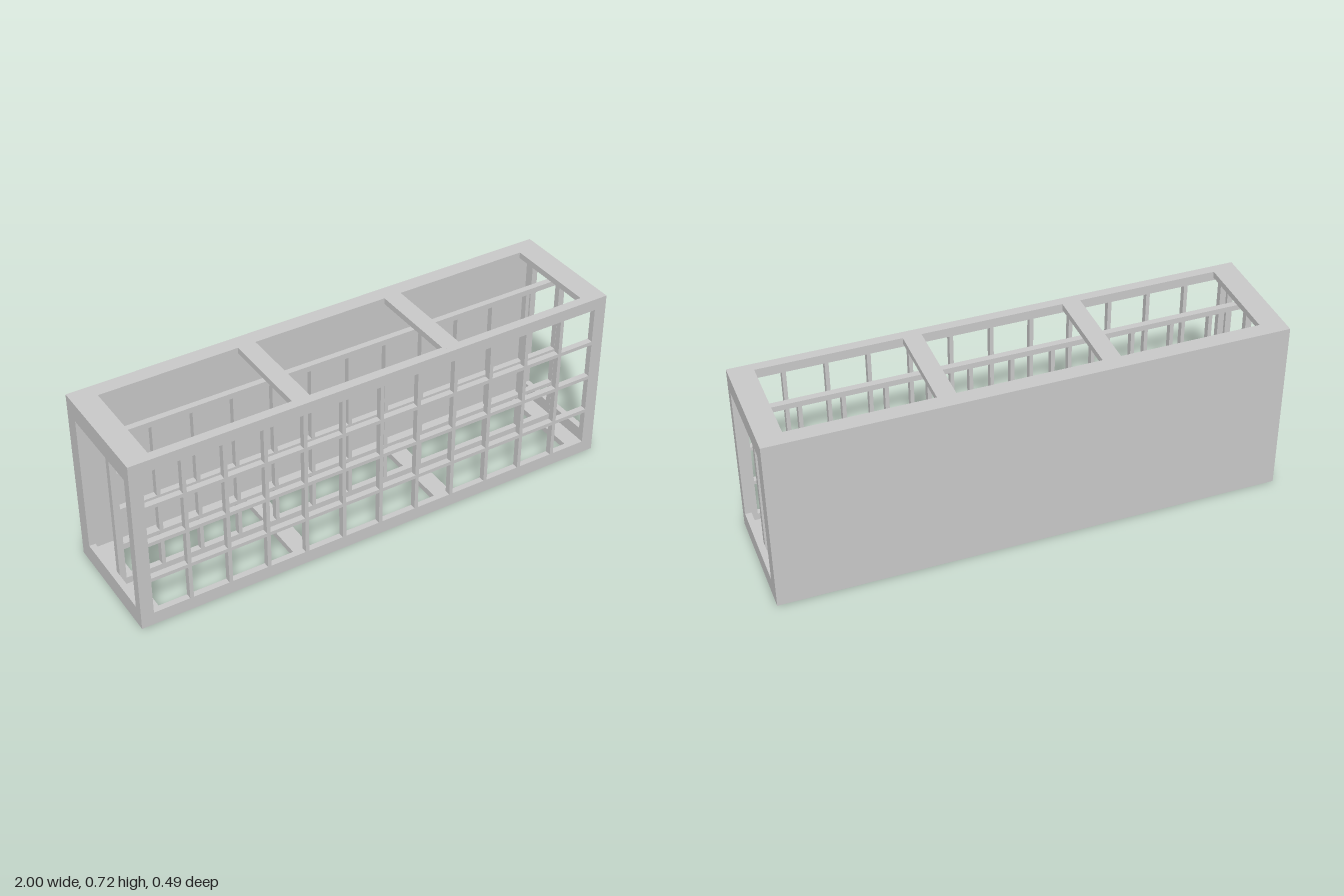
import * as THREE from 'three';

const W = 2, H = 0.724, D = 0.486, T = 0.025; // overall size and sheet thickness

// Sheet in the XY plane with rectangular holes [x0, y0, x1, y1], extruded along +z
function sheet(x0, y0, x1, y1, holes) {
  const s = new THREE.Shape();
  s.moveTo(x0, y0).lineTo(x1, y0).lineTo(x1, y1).lineTo(x0, y1).closePath();
  for (const [a, b, c, d] of holes) {
    const h = new THREE.Path();
    h.moveTo(a, b).lineTo(a, d).lineTo(c, d).lineTo(c, b).closePath();
    s.holes.push(h);
  }
  return new THREE.ExtrudeGeometry(s, { depth: T, bevelEnabled: false });
}

export function createModel() {
  const group = new THREE.Group();
  const grey = new THREE.MeshStandardMaterial({ color: 0xc8c8c8 });
  grey.name = 'grey';
  const add = (name, geometry) => {
    const m = new THREE.Mesh(geometry, grey);
    m.name = name;
    group.add(m);
  };
  const front = D / 2, back = -D / 2;
  const zIn0 = back + T, zIn1 = front - T; // space between the outer sheets

  // Lattice windows: 12 columns by 4 rows
  const cells = [];
  const cell = 0.1445, pitch = 0.1595;
  for (let i = 0; i < 12; i++) {
    for (let j = 0; j < 4; j++) {
      const x = (i - 5.5) * pitch, y = H / 2 + 0.003 + (j - 1.5) * pitch;
      cells.push([x - cell / 2, y - cell / 2, x + cell / 2, y + cell / 2]);
    }
  }
  add('frontLattice', sheet(-W / 2, 0, W / 2, H, cells).translate(0, 0, zIn1));
  add('middleLattice', sheet(-W / 2 + T, T, W / 2 - T, H - T, cells));

  // Solid back
  add('backPanel', new THREE.BoxGeometry(W, H, T).translate(0, H / 2, back + T / 2));

  // Open end frames
  const hz0 = -0.18, hz1 = 0.205;
  for (const side of [-1, 1]) {
    const g = sheet(-zIn1, 0, -zIn0, H, [[-hz1, 0.077, -hz0, H - 0.077]]);
    g.rotateY(Math.PI / 2).translate(side > 0 ? W / 2 - T : -W / 2, 0, 0);
    add(side > 0 ? 'leftEndFrame' : 'rightEndFrame', g);
  }

  // Top and bottom frames with three openings each
  const bays = [-1, 0, 1].map((i) => [i * 0.628 - 0.278, -hz1, i * 0.628 + 0.278, -hz0]);
  for (const [name, y] of [['bottomFrame', 0], ['topFrame', H - T]]) {
    const g = sheet(-W / 2 + T, -zIn1, W / 2 - T, -zIn0, bays);
    add(name, g.rotateX(-Math.PI / 2).translate(0, y, 0));
  }
  return group;
}
